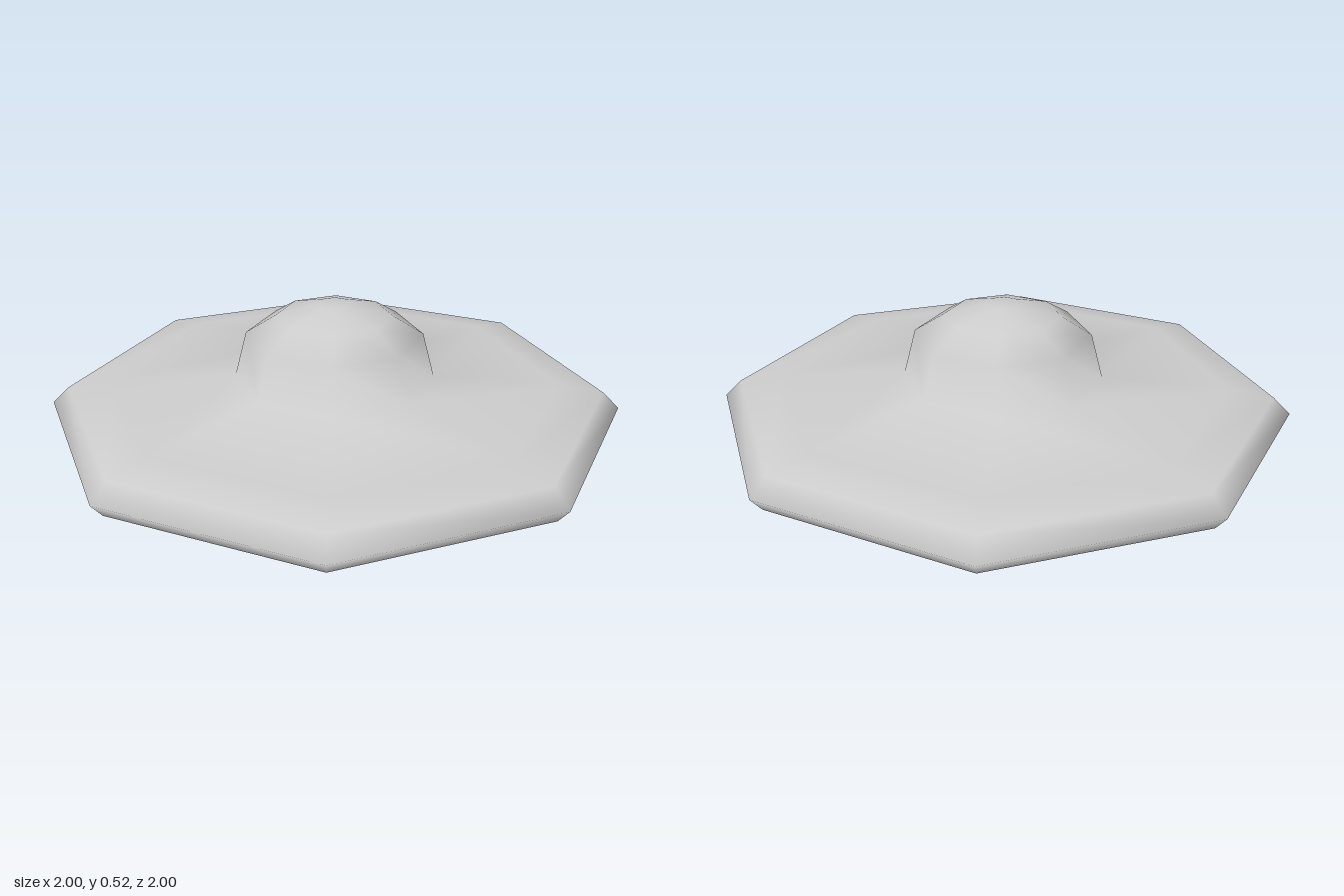
import * as THREE from 'three';

const SIDES = 8;

// Eight-sided turned part; profile runs from the bottom up as [radius, height]
function turned(name, profile, material) {
  const points = profile.map(([r, y]) => new THREE.Vector2(r, y));
  const mesh = new THREE.Mesh(new THREE.LatheGeometry(points, SIDES), material);
  mesh.name = name;
  return mesh;
}

export function createModel() {
  const group = new THREE.Group();
  group.name = 'saucer';
  const metal = new THREE.MeshStandardMaterial({ color: 0xcccccc, side: THREE.DoubleSide });
  metal.name = 'greyMetal';

  // Rim, upper hull and dome blend into one smooth shell
  group.add(turned('hullAndDome', [
    [0.96, 0.09], [1, 0.14], [0.94, 0.2], [0.79, 0.225], [0.345, 0.26],
    [0.305, 0.415], [0.2, 0.48], [0.06, 0.523], [0, 0.523],
  ], metal));

  // Shallow underside
  group.add(turned('underside', [[0, 0.065], [0.19, 0.067], [0.96, 0.09]], metal));

  // Short hub below
  group.add(turned('hubWall', [[0.193, 0], [0.193, 0.068]], metal));
  group.add(turned('hubBase', [[0, 0], [0.193, 0]], metal));

  return group;
}
